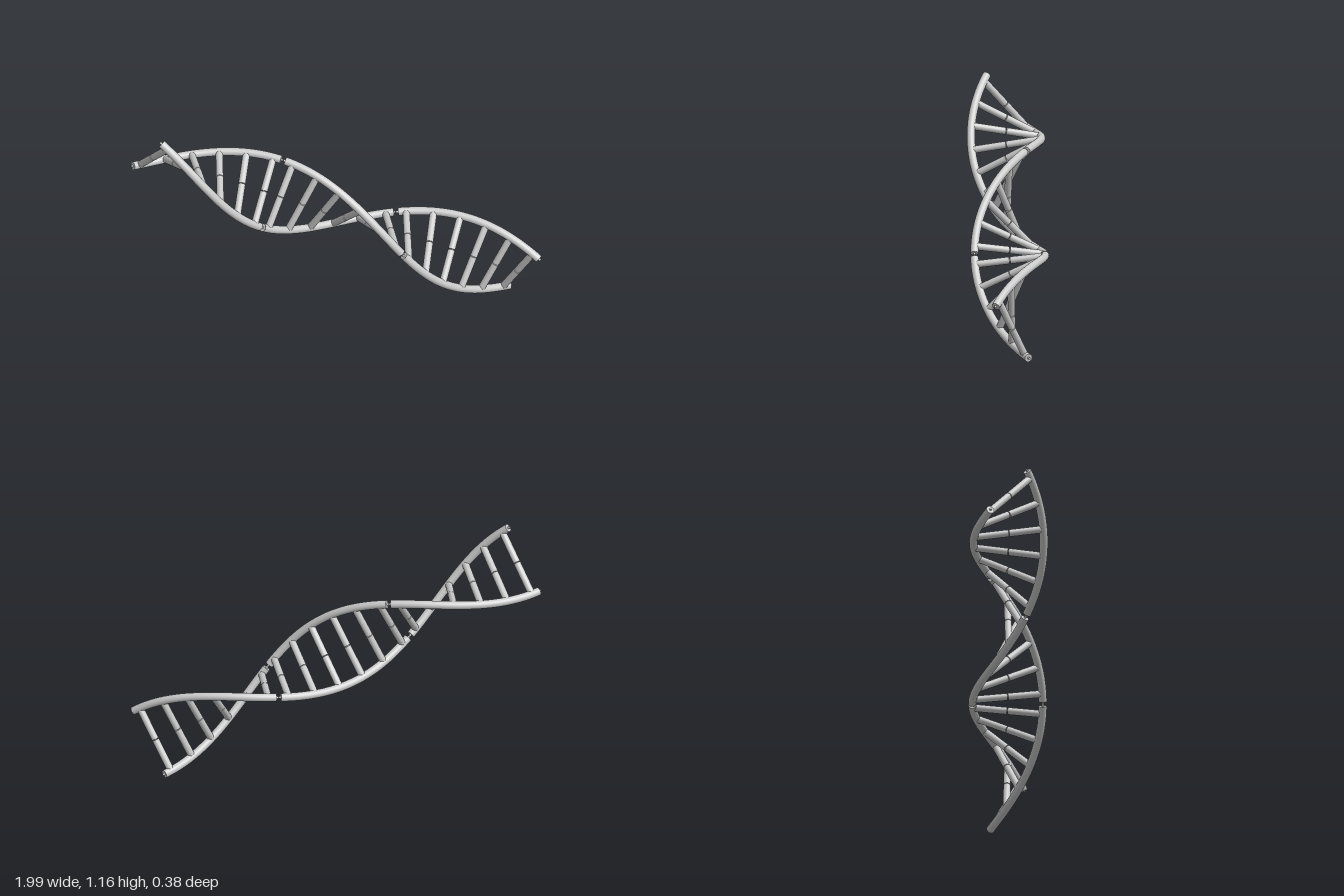
import * as THREE from 'three';

const R = 0.171;          // helix radius
const TUBE = 0.02;        // strand thickness
const HALF_TURN = 1.023;  // axial length of half a turn
const START = -0.682;     // where the first strand faces +z
const SECTION = 0.682;    // axial length of one section
const GAP = 0.01;         // half the slit between sections
const RUNGS = 6, STEP = 0.1185;

const material = new THREE.MeshStandardMaterial({ color: 0xcccccc });

// Point on a strand at axial position s
function helixPoint(s, phase) {
  const a = (Math.PI * (s - START)) / HALF_TURN + phase;
  return new THREE.Vector3(s, -R * Math.sin(a), R * Math.cos(a));
}

class HelixCurve extends THREE.Curve {
  constructor(from, to, phase) {
    super();
    Object.assign(this, { from, to, phase });
  }
  getPoint(t, target = new THREE.Vector3()) {
    return target.copy(helixPoint(THREE.MathUtils.lerp(this.from, this.to, t), this.phase));
  }
}

// Closed cylinder between two points
function rod(name, a, b, radius, sides = 20) {
  const dir = b.clone().sub(a);
  const mesh = new THREE.Mesh(new THREE.CylinderGeometry(radius, radius, dir.length(), sides), material);
  mesh.name = name;
  mesh.position.copy(a).lerp(b, 0.5);
  mesh.quaternion.setFromUnitVectors(new THREE.Vector3(0, 1, 0), dir.normalize());
  return mesh;
}

// Curved backbone piece with flat end caps and small connecting pins
function strandPiece(from, to, phase) {
  const group = new THREE.Group();
  group.name = 'strandPiece';
  const curve = new HelixCurve(from, to, phase);
  const tube = new THREE.Mesh(new THREE.TubeGeometry(curve, 48, TUBE, 20), material);
  tube.name = 'strandTube';
  group.add(tube);
  for (const t of [0, 1]) {
    const end = curve.getPoint(t);
    const out = curve.getTangent(t).multiplyScalar(t ? 1 : -1);
    const cap = new THREE.Mesh(new THREE.CircleGeometry(TUBE, 20), material);
    cap.name = 'strandCap';
    cap.position.copy(end);
    cap.quaternion.setFromUnitVectors(new THREE.Vector3(0, 0, 1), out);
    const tip = end.clone().addScaledVector(out, 0.01);
    group.add(cap, rod('connectingPin', end.clone().addScaledVector(out, -0.01), tip, 0.006, 12));
  }
  return group;
}

// Rung made of two halves meeting at a fine seam on the axis
function rung(s) {
  const group = new THREE.Group();
  group.name = 'rung';
  const centre = new THREE.Vector3(s, 0, 0);
  for (const phase of [0, Math.PI]) {
    const outer = helixPoint(s, phase);
    group.add(rod('rungHalf', centre.clone().lerp(outer, 0.012), outer, 0.0175));
  }
  group.add(rod('rungPin', centre.clone().lerp(helixPoint(s, 0), 0.05),
    centre.clone().lerp(helixPoint(s, Math.PI), 0.05), 0.008, 12));
  return group;
}

export function createModel() {
  const model = new THREE.Group();
  model.name = 'doubleHelix';
  const helix = new THREE.Group();
  helix.name = 'tiltedLadder';
  helix.position.y = 0.587;
  helix.rotation.z = -0.4346;
  model.add(helix);

  // Three identical sections, each turned on from the last
  for (let i = -1; i <= 1; i++) {
    const section = new THREE.Group();
    section.name = 'section';
    const mid = i * SECTION;
    for (const phase of [0, Math.PI]) {
      section.add(strandPiece(mid - SECTION / 2 + GAP, mid + SECTION / 2 - GAP, phase));
    }
    for (let j = 0; j < RUNGS; j++) section.add(rung(mid + (j - (RUNGS - 1) / 2) * STEP));
    helix.add(section);
  }
  return model;
}
